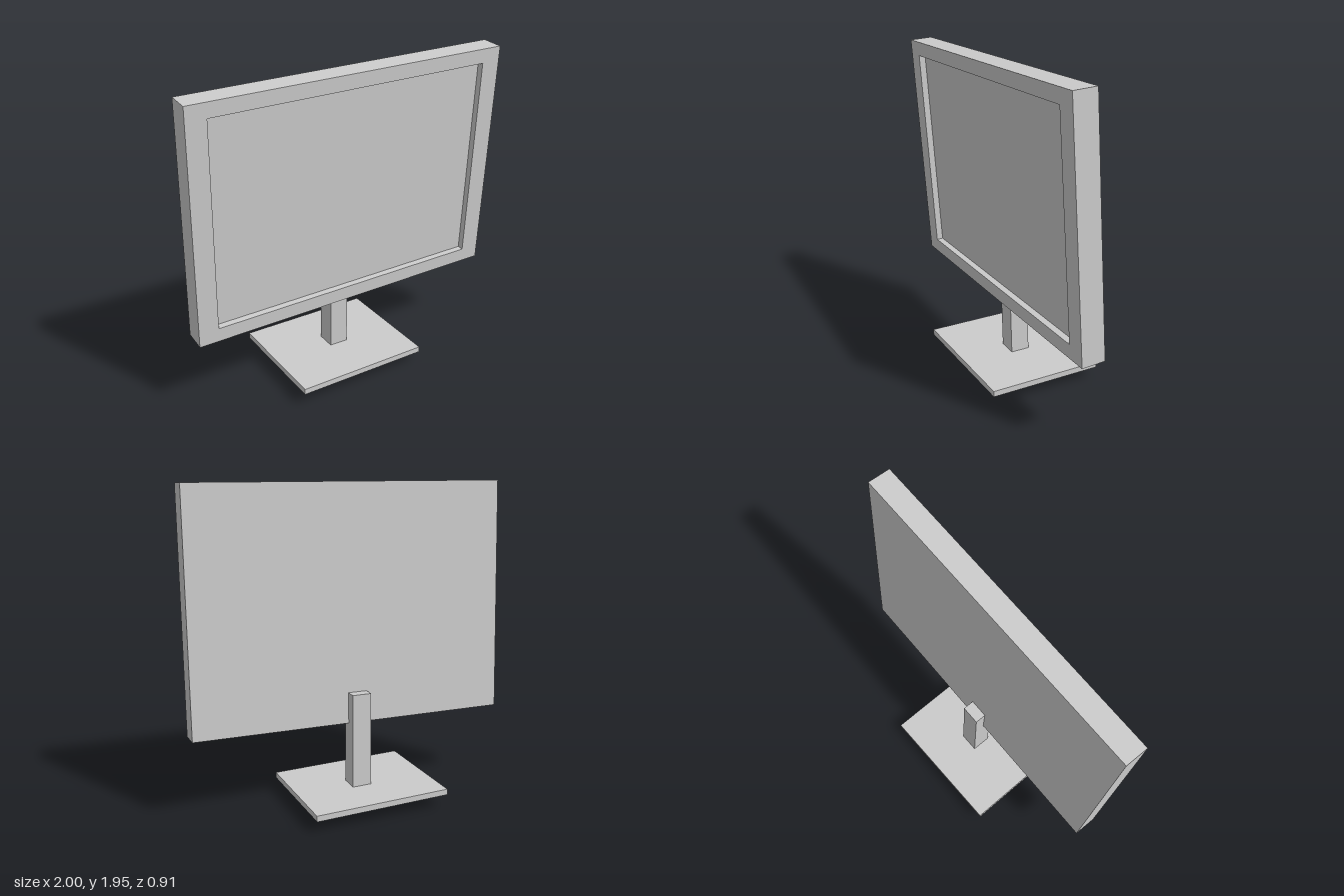
import * as THREE from 'three';

const material = new THREE.MeshStandardMaterial({ color: 0xcccccc, flatShading: true });

// Orients a part by its own right and up directions, and sets its centre
function place(object, name, centre, right, up) {
  const x = new THREE.Vector3(...right).normalize();
  const z = x.clone().cross(new THREE.Vector3(...up)).normalize();
  const y = z.clone().cross(x);
  object.name = name;
  object.quaternion.setFromRotationMatrix(new THREE.Matrix4().makeBasis(x, y, z));
  object.position.set(...centre);
  return object;
}

function box(w, h, d) {
  return new THREE.Mesh(new THREE.BoxGeometry(w, h, d), material);
}

function rectangle(path, x0, y0, x1, y1) {
  path.moveTo(x0, y0);
  path.lineTo(x1, y0);
  path.lineTo(x1, y1);
  path.lineTo(x0, y1);
  path.closePath();
  return path;
}

// Monitor housing: solid back panel with a raised bezel around the display
function createScreen() {
  const w = 1.985, h = 1.443, depth = 0.14, recess = 0.04;
  const screen = new THREE.Group();

  const panel = box(w, h, depth - recess);
  panel.name = 'displayPanel';
  panel.position.z = -recess / 2;

  const outline = rectangle(new THREE.Shape(), -w / 2, -h / 2, w / 2, h / 2);
  outline.holes.push(rectangle(new THREE.Path(), -w / 2 + 0.12, -h / 2 + 0.087, w / 2 - 0.12, h / 2 - 0.087));
  const bezel = new THREE.Mesh(
    new THREE.ExtrudeGeometry(outline, { depth: recess, bevelEnabled: false }), material);
  bezel.name = 'bezel';
  bezel.position.z = depth / 2 - recess;

  screen.add(panel, bezel);
  return screen;
}

export function createModel() {
  const model = new THREE.Group();
  model.name = 'monitor';
  model.add(
    // Screen turned to the side and leaning slightly forward
    place(createScreen(), 'screen', [0, 1.214, 0.098], [1.925, 0.025, 0.485], [-0.035, 1.44, 0.083]),
    // Post runs from the floor, through the base, into the back of the screen
    place(box(0.12, 0.685, 0.118), 'post', [0.018, 0.345, -0.024], [0.97, 0.01, 0.235], [-0.012, 0.69, 0.015]),
    // Flat base plate
    place(box(0.847, 0.036, 0.708), 'base', [0.003, 0.094, -0.016], [0.825, -0.013, 0.19], [0.015, 1, 0.003]),
  );
  return model;
}
